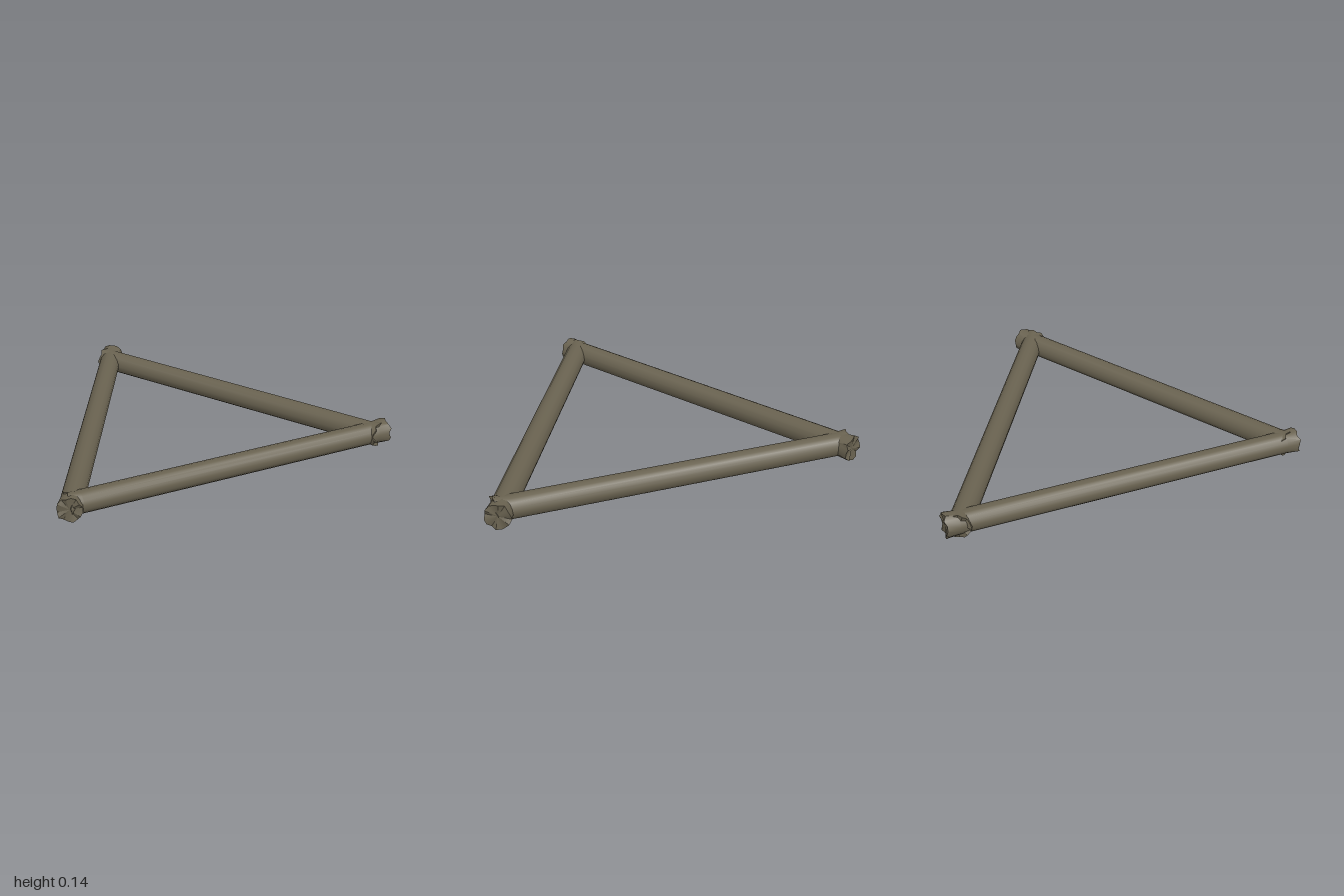
import * as THREE from 'three';
import { toCreasedNormals } from 'three/addons/utils/BufferGeometryUtils.js';

const RADIUS = 0.062;
const FLARE = 0.07; // length of the flared, rough-cut end

// Round pole between two points [x, z], with slightly flared, ragged ends
function makeLog(name, from, to, seed, material) {
  const a = new THREE.Vector3(from[0], 0.075, from[1]);
  const b = new THREE.Vector3(to[0], 0.075, to[1]);
  const length = a.distanceTo(b);
  const half = length / 2;
  const rows = [-half, -half + FLARE, half - FLARE, half];
  const geometry = new THREE.CylinderGeometry(RADIUS, RADIUS, length, 16, 3);
  const p = geometry.attributes.position;
  for (let i = 0; i < p.count; i++) {
    const row = Math.round((p.getY(i) / length + 0.5) * 3);
    const r = Math.hypot(p.getX(i), p.getZ(i));
    let y = rows[row];
    if (row === 0 || row === 3) {
      const s = seed + row;
      if (r > 0.01) {
        // Uneven rim: radius and depth vary around the cut
        const angle = Math.atan2(p.getZ(i), p.getX(i));
        const scale = 1.09 + 0.05 * Math.sin(5 * angle + s);
        p.setX(i, p.getX(i) * scale);
        p.setZ(i, p.getZ(i) * scale);
        y += 0.008 * Math.sin(6 * angle + s * 2);
      } else {
        y -= Math.sign(y) * 0.006;
      }
    }
    p.setY(i, y);
  }
  const mesh = new THREE.Mesh(toCreasedNormals(geometry, 0.6), material);
  mesh.name = name;
  mesh.position.copy(a).add(b).multiplyScalar(0.5);
  mesh.quaternion.setFromUnitVectors(new THREE.Vector3(0, 1, 0), b.clone().sub(a).normalize());
  return mesh;
}

export function createModel() {
  const wood = new THREE.MeshStandardMaterial({ color: 0x696250 });
  wood.name = 'weathered wood';

  const group = new THREE.Group();
  group.name = 'triangular log frame';
  group.add(
    makeLog('backLog', [-0.95, -0.78], [0.95, -0.78], 0.4, wood),
    makeLog('rightLog', [-0.95, -0.852], [0.035, 0.852], 1.3, wood),
    makeLog('leftLog', [0.95, -0.852], [-0.01, 0.815], 2.6, wood)
  );
  return group;
}
